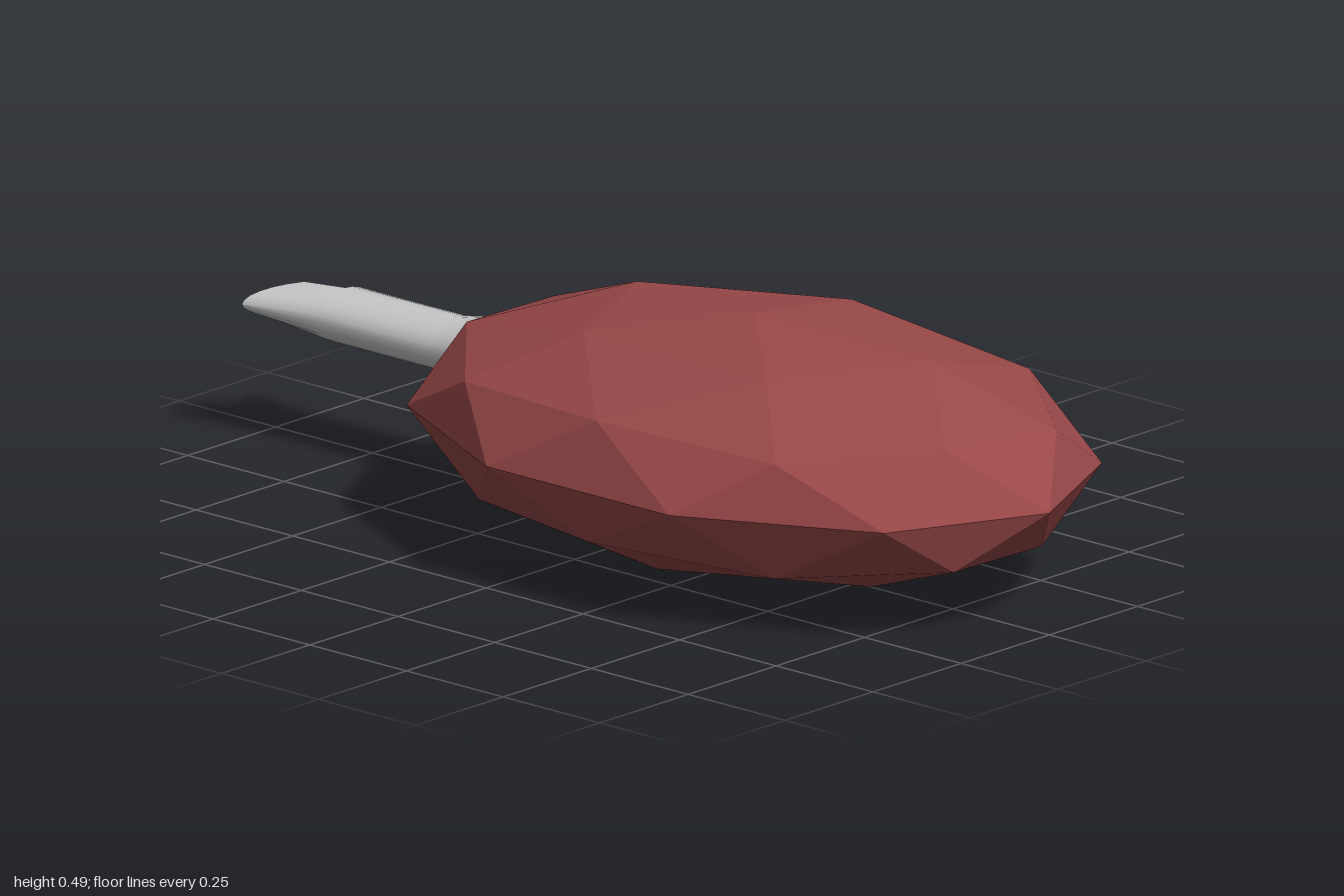
import * as THREE from 'three';
import { toCreasedNormals } from 'three/addons/utils/BufferGeometryUtils.js';

// Half of the stem (side +1 or -1): D-shaped cross-sections lofted towards -z.
// Section: [z, centre y, x radius, y radius, inner edge x, extra z at the outer edge]
function halfStem(side, sections) {
  const n = 12, pos = [], idx = [];
  for (const [z, cy, rx, ry, inner = 0, slant = 0] of sections) {
    for (let k = 0; k <= n; k++) {
      const t = side * (k / n - 0.5) * Math.PI;
      const c = Math.cos(t);
      pos.push(inner + (side * rx - inner) * c, cy + ry * Math.sin(t), z + slant * c);
    }
  }
  const m = n + 1, last = (sections.length - 1) * m;
  for (let i = 0; i < sections.length - 1; i++) {
    for (let k = 0; k < m; k++) {
      const a = i * m + k, b = i * m + (k + 1) % m;
      idx.push(a, a + m, b + m, a, b + m, b);
    }
  }
  for (let k = 1; k < n; k++) {
    idx.push(0, k, k + 1, last, last + k + 1, last + k);
  }
  const geo = new THREE.BufferGeometry();
  geo.setAttribute('position', new THREE.Float32BufferAttribute(pos, 3));
  geo.setIndex(idx);
  return toCreasedNormals(geo, 0.7);
}

export function createModel() {
  const model = new THREE.Group();

  // Faceted body: an icosphere stood on one vertex, flattened and stretched
  const bodyGeo = new THREE.IcosahedronGeometry(1, 1);
  bodyGeo.rotateZ(-Math.atan(2 / (1 + Math.sqrt(5))));
  bodyGeo.scale(0.526, 0.243, 0.763);
  const body = new THREE.Mesh(bodyGeo,
    new THREE.MeshStandardMaterial({ color: 0x994848, flatShading: true }));
  body.name = 'body';
  body.position.set(0, 0.247, 0.237);
  model.add(body);

  // Stem flaring into the body, its far end split into two offset tips
  const stem = new THREE.Group();
  stem.name = 'stem';
  const grey = new THREE.MeshStandardMaterial({ color: 0xcccccc });
  const shaft = [
    [-0.35, 0.28, 0.082, 0.078],
    [-0.45, 0.272, 0.08, 0.064],
    [-0.54, 0.267, 0.077, 0.053],
    [-0.82, 0.267, 0.077, 0.053],
  ];
  const tips = [
    ['leftTip', 1, [-0.94, 0.24, 0.092, 0.027, 0.015, -0.025]],
    ['rightTip', -1, [-0.94, 0.271, 0.096, 0.033, 0.015, -0.06]],
  ];
  for (const [name, side, end] of tips) {
    const half = new THREE.Mesh(halfStem(side, [...shaft, end]), grey);
    half.name = name;
    stem.add(half);
  }
  model.add(stem);
  return model;
}
